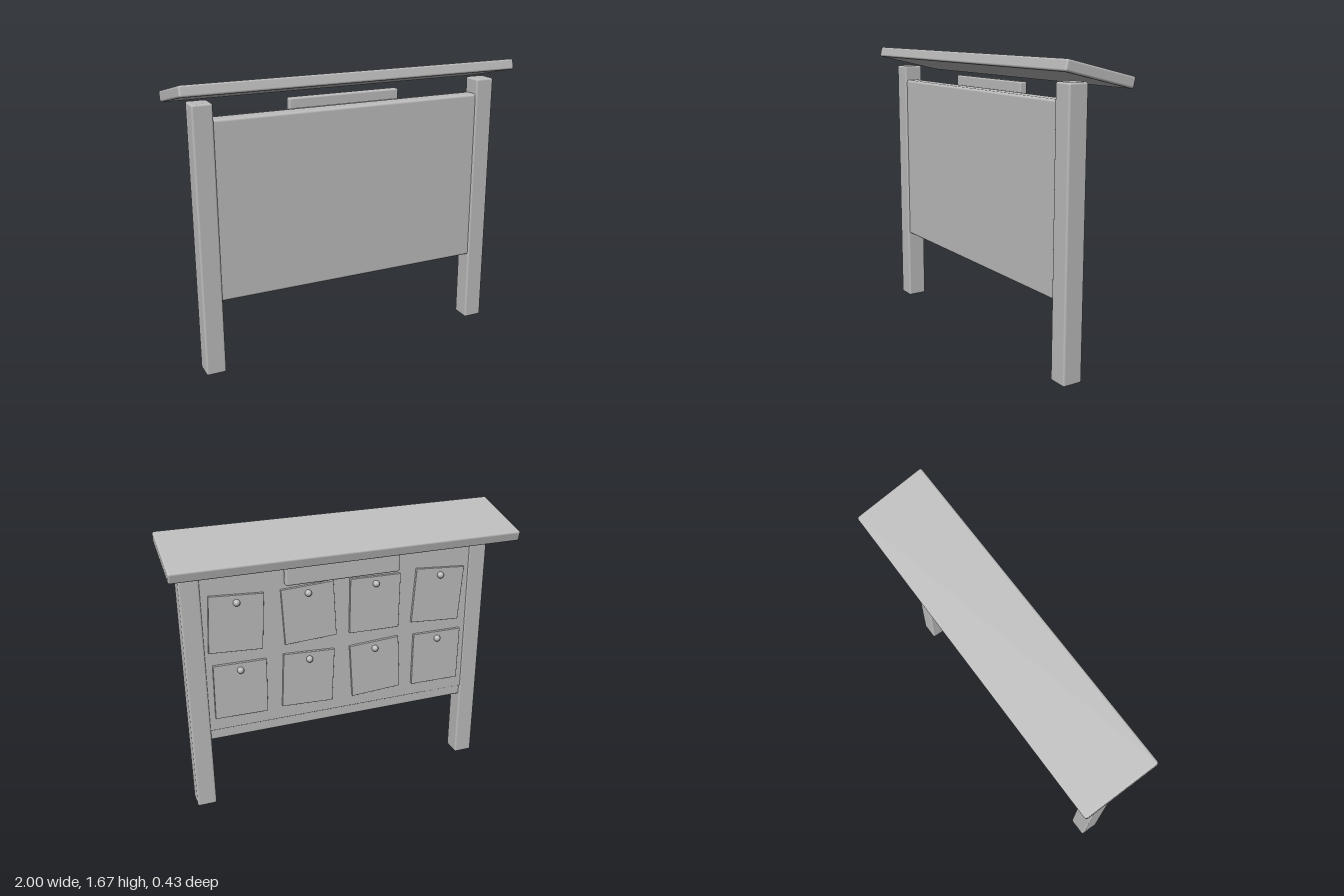
import * as THREE from 'three';
import { RoundedBoxGeometry } from 'three/addons/geometries/RoundedBoxGeometry.js';

export function createModel() {
  const model = new THREE.Group();
  model.name = 'noticeBoard';
  const grey = new THREE.MeshStandardMaterial({ color: 0xbcbcbc });
  grey.name = 'plain grey';

  // softly rounded plank, placed by its centre
  const plank = (name, w, h, d, x, y, z, radius, parent = model) => {
    const mesh = new THREE.Mesh(new RoundedBoxGeometry(w, h, d, 2, radius), grey);
    mesh.name = name;
    mesh.position.set(x, y, z);
    parent.add(mesh);
    return mesh;
  };

  // posts
  for (const side of [1, -1]) {
    plank(side > 0 ? 'leftPost' : 'rightPost', 0.115, 1.55, 0.118, side * 0.8625, 0.775, 0.071, 0.012);
  }

  // thick panel with a shallow pin board standing proud of its lower strip
  plank('panel', 1.64, 1.025, 0.094, 0, 0.9475, 0.072, 0.015);
  plank('pinBoard', 1.63, 0.955, 0.02, 0, 0.98, 0.027, 0.003);

  // header sign under the roof
  plank('headerSign', 0.68, 0.165, 0.045, 0, 1.4325, -0.0075, 0.01);

  // sloping roof, higher at the front
  plank('roof', 2, 0.062, 0.435, 0, 1.59, 0, 0.012).rotation.x = -0.23;

  // notes hang from their pins, each at its own small tilt
  const tilts = [
    [0.06, -0.05, 0.015, 0.07],
    [0.015, 0.05, -0.055, 0.01],
  ];
  const pinGeometry = new THREE.SphereGeometry(0.02, 16, 12);
  tilts.forEach((row, r) => row.forEach((tilt, c) => {
    const note = new THREE.Group();
    note.name = 'pinnedNote';
    note.position.set(0.615 - c * 0.41, r ? 0.875 : 1.285, 0);
    note.rotation.z = tilt;
    plank('paper', 0.31, 0.335, 0.018, 0, -0.125, 0.009, 0.002, note);
    const pin = new THREE.Mesh(pinGeometry, grey);
    pin.name = 'pin';
    pin.position.z = -0.007;
    note.add(pin);
    model.add(note);
  }));

  return model;
}
